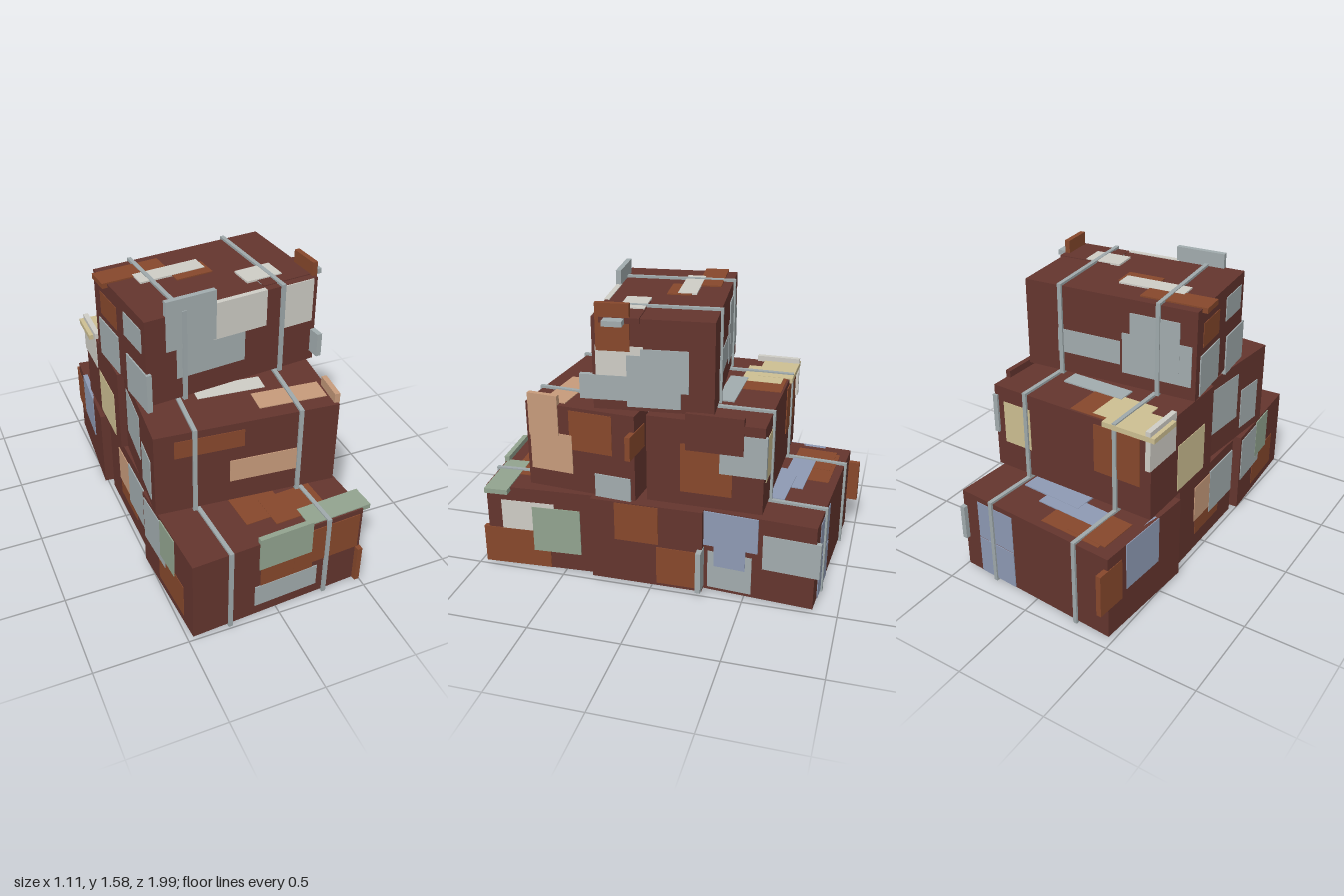
import * as THREE from 'three';

const mat = (name, color) => Object.assign(new THREE.MeshStandardMaterial({ color }), { name });
const M = {
  base: mat('baleBrown', 0x64352e),
  strap: mat('strapGrey', 0x9fa9ab),
  rust: mat('rust', 0x87482c),
  grey: mat('paleGrey', 0xa2acae),
  white: mat('offWhite', 0xcfcdc6),
  blue: mat('dustyBlue', 0x8e9ab4),
  sage: mat('sage', 0x92a48f),
  tan: mat('tan', 0xc79b7b),
  cream: mat('cream', 0xcdbf92),
};

// Bale size, scrap thickness and the stock scrap sizes (width, height)
const W = 0.96, H = 0.477, D = 0.61, SLAB = 0.028;
const STOCK = {
  small: [0.2, 0.13], strip: [0.36, 0.1], plank: [0.36, 0.13], panel: [0.3, 0.2],
  board: [0.38, 0.22], square: [0.24, 0.22], sheet: [0.27, 0.27], post: [0.17, 0.24],
};

function box(name, material, size, pos) {
  const m = new THREE.Mesh(new THREE.BoxGeometry(...size), material);
  m.name = name;
  m.position.set(...pos);
  return m;
}

// One strap: four bars forming a ring round the bale
function strap(x) {
  const g = new THREE.Group(), t = 0.02, out = 0.013, w = 0.022;
  g.name = 'strap';
  for (const s of [-1, 1]) {
    g.add(box('strapRun', M.strap, [w, t, D + 2 * out], [x, s * (H / 2 + out - t / 2), 0]));
    g.add(box('strapSide', M.strap, [w, H + 2 * out, t], [x, 0, s * (D / 2 + out - t / 2)]));
  }
  return g;
}

// Strapped bale on a given tier; returns a function that sinks a scrap into
// one face, centred on stack coordinates (a, b), each over the last
function bale(model, name, tier, x, z, yaw) {
  const g = new THREE.Group(), y = 0.013 + H / 2 + tier * 0.503;
  g.name = name;
  g.position.set(x, y, z);
  g.rotation.y = yaw;
  g.add(box('baleBody', M.base, [W, H, D], [0, 0, 0]), strap(-0.275), strap(0.275));
  model.add(g);

  const c = Math.cos(yaw), s = Math.sin(yaw), layers = {};
  return (face, color, stock, a, b) => {
    const [w, h] = STOCK[stock];
    layers[face] = (layers[face] ?? -1) + 1;
    const out = 0.003 + 0.0015 * layers[face] - SLAB / 2;
    const k = face === 'front' || face === 'plusX' ? 1 : -1;
    let size, pos;
    if (face === 'top') {
      size = [w, SLAB, h];
      pos = [(a - x) * c - (b - z) * s, H / 2 + out, (a - x) * s + (b - z) * c];
    } else if (face === 'front' || face === 'back') {
      size = [w, h, SLAB];
      pos = [(a - x - k * s * D / 2) / c, b - y, k * (D / 2 + out)];
    } else {
      size = [SLAB, h, w];
      pos = [k * (W / 2 + out), b - y, (a - z + k * s * W / 2) / c];
    }
    g.add(box(color + 'Scrap', M[color], size, pos));
  };
}

export function createModel() {
  const model = new THREE.Group();
  model.name = 'stackedScrapBales';
  let put;

  put = bale(model, 'bottomFrontBale', 0, -0.012, 0.655, 0.06);
  put('front', 'rust', 'panel', 0.05, 0.24);
  put('front', 'rust', 'board', 0.28, 0.35);
  put('front', 'grey', 'plank', 0.05, 0.14);
  put('front', 'sage', 'panel', 0.04, 0.42);
  put('plusX', 'white', 'panel', 0.7, 0.31);
  put('plusX', 'rust', 'board', 0.77, 0.125);
  put('plusX', 'sage', 'sheet', 0.54, 0.25);
  put('top', 'rust', 'square', 0, 0.7);
  put('top', 'rust', 'panel', 0.17, 0.76);
  put('top', 'sage', 'plank', 0.35, 0.865);
  put('minusX', 'rust', 'panel', 0.73, 0.16);
  put('minusX', 'grey', 'sheet', 0.53, 0.33);
  put('minusX', 'sage', 'post', 0.69, 0.36);

  put = bale(model, 'bottomMiddleBale', 0, 0, 0.03, 0.005);
  put('plusX', 'rust', 'square', 0.08, 0.375);
  put('plusX', 'rust', 'square', -0.15, 0.14);
  put('back', 'grey', 'post', 0.44, 0.15);
  put('minusX', 'rust', 'sheet', 0.04, 0.24);
  put('minusX', 'tan', 'square', 0.01, 0.31);
  put('minusX', 'grey', 'sheet', 0.195, 0.295);

  put = bale(model, 'bottomBackBale', 0, -0.018, -0.6, -0.073);
  put('plusX', 'grey', 'square', -0.42, 0.14);
  put('plusX', 'grey', 'panel', -0.745, 0.3);
  put('plusX', 'blue', 'post', -0.42, 0.285);
  put('plusX', 'blue', 'panel', -0.42, 0.385);
  put('top', 'rust', 'plank', -0.21, -0.81);
  put('top', 'rust', 'square', -0.3, -0.75);
  put('top', 'blue', 'plank', -0.1, -0.685);
  put('top', 'blue', 'plank', 0.05, -0.61);
  put('back', 'blue', 'square', 0.26, 0.35);
  put('back', 'blue', 'square', 0.26, 0.125);
  put('minusX', 'rust', 'post', -0.915, 0.305);
  put('minusX', 'blue', 'sheet', -0.66, 0.355);

  put = bale(model, 'middleFrontBale', 1, -0.012, 0.34, -0.085);
  put('front', 'rust', 'strip', -0.235, 0.9);
  put('front', 'tan', 'plank', 0.05, 0.705);
  put('plusX', 'rust', 'square', 0.32, 0.865);
  put('plusX', 'tan', 'square', 0.545, 0.725);
  put('plusX', 'tan', 'post', 0.585, 0.925);
  put('plusX', 'grey', 'small', 0.2, 0.575);
  put('back', 'rust', 'small', 0.46, 0.84);
  put('top', 'white', 'strip', -0.015, 0.345);
  put('top', 'tan', 'plank', 0.24, 0.52);
  put('minusX', 'grey', 'sheet', 0.19, 0.79);
  put('minusX', 'grey', 'post', 0.45, 0.685);

  put = bale(model, 'middleBackBale', 1, -0.02, -0.285, -0.01);
  put('plusX', 'rust', 'sheet', -0.29, 0.727);
  put('plusX', 'grey', 'square', -0.478, 0.83);
  put('plusX', 'base', 'panel', -0.33, 0.93);
  put('top', 'rust', 'square', -0.14, -0.47);
  put('top', 'cream', 'square', -0.26, -0.45);
  put('top', 'cream', 'panel', -0.375, -0.51);
  put('top', 'grey', 'strip', -0.005, -0.32);
  put('back', 'cream', 'post', 0.32, 0.79);
  put('back', 'rust', 'sheet', -0.3, 0.825);
  put('minusX', 'cream', 'sheet', -0.205, 0.675);
  put('minusX', 'white', 'square', -0.49, 0.915);

  put = bale(model, 'topBale', 2, -0.015, 0.03, 0.1);
  put('front', 'grey', 'board', -0.11, 1.245);
  put('front', 'white', 'panel', 0.05, 1.4);
  put('front', 'white', 'post', 0.385, 1.375);
  put('front', 'grey', 'sheet', -0.22, 1.44);
  put('plusX', 'white', 'square', 0.15, 1.245);
  put('plusX', 'grey', 'plank', 0.175, 1.135);
  put('plusX', 'grey', 'sheet', -0.02, 1.175);
  put('plusX', 'grey', 'square', -0.075, 1.235);
  put('plusX', 'rust', 'post', 0.18, 1.45);
  put('top', 'grey', 'strip', 0.37, 0.18);
  put('top', 'base', 'panel', 0.34, 0.16);
  put('top', 'rust', 'small', -0.08, -0.02);
  put('top', 'rust', 'plank', -0.36, -0.125);
  put('top', 'white', 'strip', -0.18, -0.05);
  put('top', 'white', 'small', 0.23, 0.14);
  put('back', 'grey', 'plank', 0.07, 1.195);
  put('back', 'grey', 'board', -0.31, 1.2);
  put('back', 'grey', 'sheet', -0.3, 1.29);
  put('minusX', 'rust', 'small', -0.05, 1.345);
  put('minusX', 'grey', 'small', 0.24, 1.37);
  put('minusX', 'grey', 'square', -0.06, 1.135);
  put('minusX', 'grey', 'square', 0.28, 1.1);
  return model;
}
